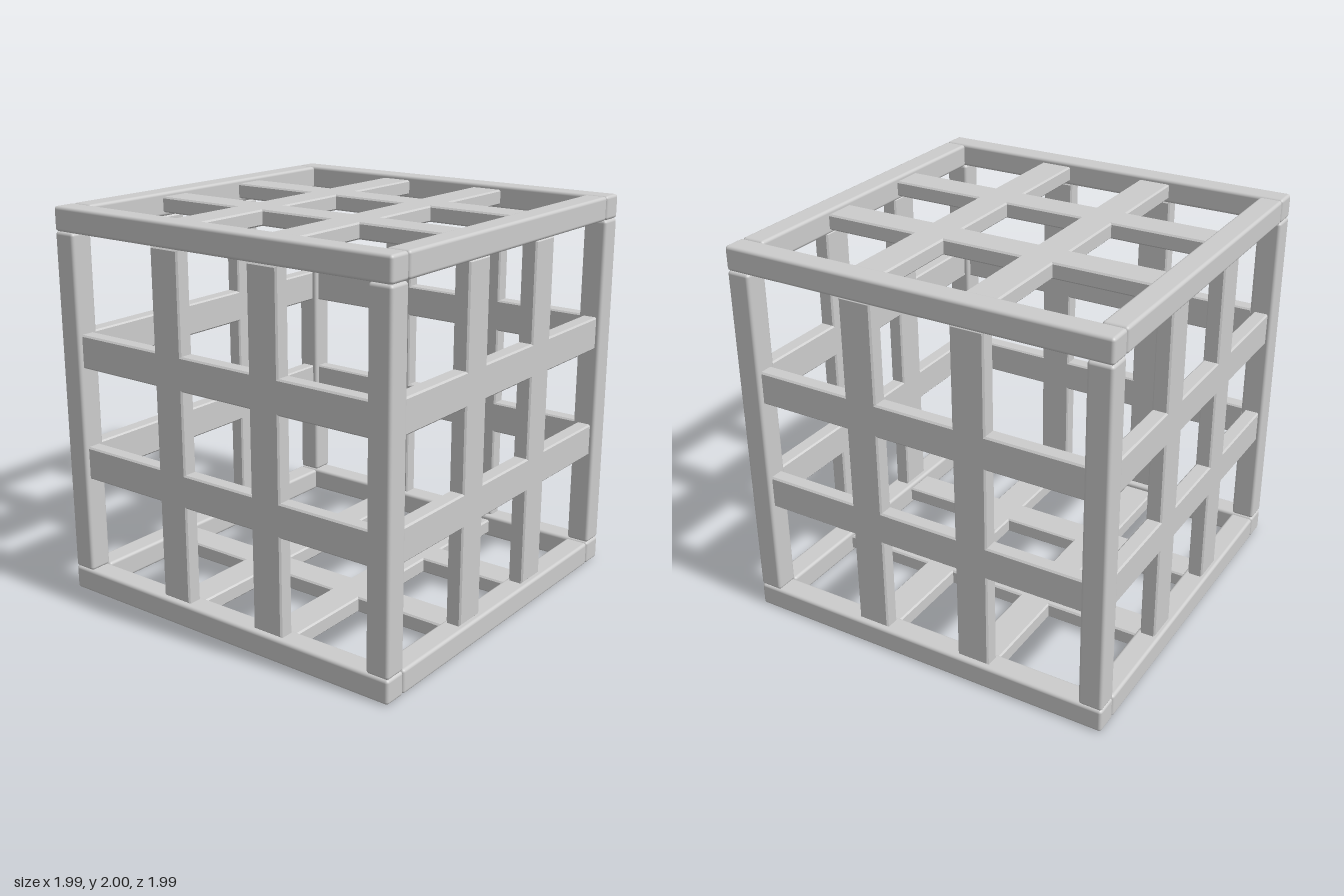
import * as THREE from 'three';
import { RoundedBoxGeometry } from 'three/addons/geometries/RoundedBoxGeometry.js';

const HALF = 0.993;      // half width and depth of the cage
const BEAM = 0.122;      // beam thickness
const MID = HALF - BEAM / 2;
const MID_Y = 1 - BEAM / 2;
const INNER = 0.875;     // reach of the slats
const A = 0.206, B = 0.376; // near and far edge of each slat

// Two slats crossing two slats, as one flat bevelled piece
function latticeGeometry() {
  const points = [];
  const side = [[B, -B], [INNER, -B], [INNER, -A], [B, -A], [B, A], [INNER, A], [INNER, B]];
  for (let i = 0; i < 4; i++) {
    for (const [x, y] of side) {
      let p = [x, y];
      for (let k = 0; k < i; k++) p = [-p[1], p[0]];
      points.push(new THREE.Vector2(...p));
    }
  }
  const shape = new THREE.Shape(points);
  const square = [[-A, -A], [-A, A], [A, A], [A, -A]];
  shape.holes.push(new THREE.Path(square.map(([x, y]) => new THREE.Vector2(x, y))));
  const thickness = 0.08, bevel = 0.008;
  const geometry = new THREE.ExtrudeGeometry(shape, {
    depth: thickness - 2 * bevel, bevelEnabled: true, bevelThickness: bevel,
    bevelSize: bevel, bevelOffset: -bevel, bevelSegments: 1,
  });
  return geometry.translate(0, 0, -thickness / 2 + bevel);
}

export function createModel() {
  const model = new THREE.Group();
  model.name = 'latticeCage';
  const material = new THREE.MeshStandardMaterial({ color: 0xcccccc });

  const add = (name, geometry, x, y, z) => {
    const mesh = new THREE.Mesh(geometry, material);
    mesh.name = name;
    mesh.position.set(x, y, z);
    model.add(mesh);
    return mesh;
  };

  // Twelve softly rounded edge beams
  const beam = (w, h, d) => new RoundedBoxGeometry(w, h, d, 3, 0.016);
  const longRail = beam(2 * HALF, BEAM, BEAM);
  const sideRail = beam(BEAM, BEAM, 2 * (HALF - BEAM));
  const post = beam(BEAM, 2 - 2 * BEAM, BEAM);
  for (const s of [-1, 1]) {
    for (const t of [-1, 1]) {
      add('longRail', longRail, 0, 1 + s * MID_Y, t * MID);
      add('sideRail', sideRail, s * MID, 1 + t * MID_Y, 0);
      add('cornerPost', post, s * MID, 1, t * MID);
    }
  }

  // A lattice set into each of the six faces
  const lattice = latticeGeometry();
  for (const s of [-1, 1]) {
    add(s > 0 ? 'frontLattice' : 'backLattice', lattice, 0, 1, s * MID);
    add(s > 0 ? 'leftLattice' : 'rightLattice', lattice, s * MID, 1, 0).rotation.y = Math.PI / 2;
    add(s > 0 ? 'topLattice' : 'bottomLattice', lattice, 0, 1 + s * MID_Y, 0).rotation.x = Math.PI / 2;
  }
  return model;
}
